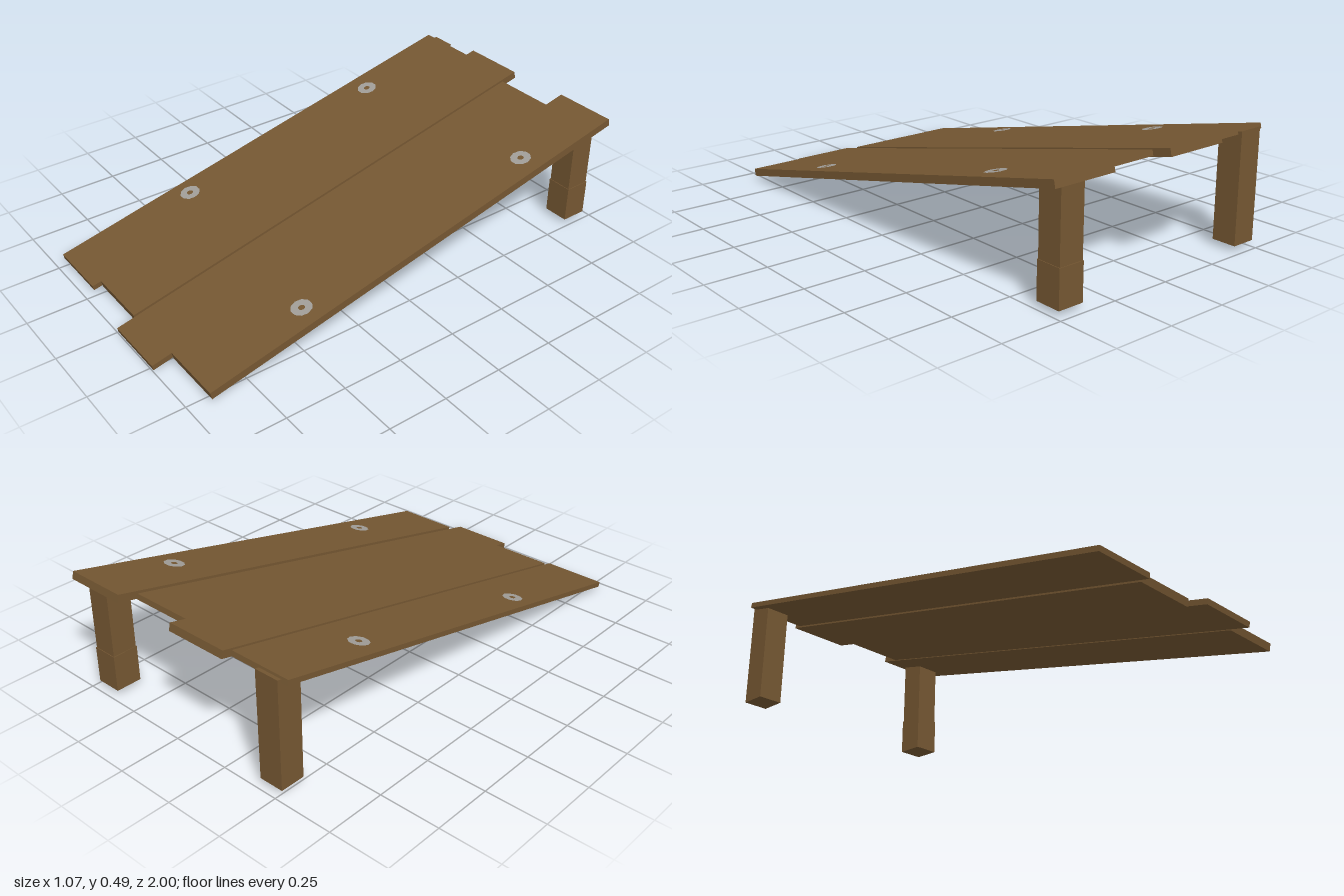
import * as THREE from 'three';

const TILT = 0.2262;

export function createModel() {
  const model = new THREE.Group();
  model.name = 'woodenRamp';
  const wood = new THREE.MeshStandardMaterial({ color: 0x755732 });
  wood.name = 'brown wood';
  const metal = new THREE.MeshStandardMaterial({ color: 0xa09d98 });
  metal.name = 'grey nail metal';

  const add = (geometry, material, name, parent = model) => {
    const mesh = new THREE.Mesh(geometry, material);
    mesh.name = name;
    parent.add(mesh);
    return mesh;
  };

  // Planks: x centre, width, z and y of the middle of the top face, thickness, nails as [x, z]
  const planks = [
    [-0.406, 0.264, 0.003, 0.250, 0.021, [[-0.44, -0.515], [-0.455, 0.405]]],
    [-0.137, 0.266, -0.032, 0.263, 0.031, []],
    [0.134, 0.264, 0.042, 0.242, 0.022, []],
    [0.404, 0.265, -0.037, 0.268, 0.031, [[0.44, -0.605], [0.445, 0.47]]],
  ];
  planks.forEach(([x, width, z, y, thick, nails]) => {
    const board = new THREE.Group();
    board.name = 'board';
    board.position.set(x, y, z);
    board.rotation.x = TILT;
    model.add(board);
    const box = new THREE.BoxGeometry(width, thick, 1.966);
    box.translate(0, -thick / 2, 0);
    add(box, wood, 'plank', board);

    // Flat nail heads with a small open middle
    nails.forEach(([nx, nz]) => {
      const head = add(new THREE.RingGeometry(0.013, 0.042, 10), metal, 'nailHead', board);
      head.rotation.x = -Math.PI / 2;
      head.position.set(nx - x, 0.0015, (nz - z) / Math.cos(TILT));
    });
  });

  // Back posts, with tops cut to the slope of the planks
  const post = (x, z, name) => {
    const low = 0.022, high = 0.435;
    const geometry = new THREE.BoxGeometry(0.103, high - low, 0.103);
    geometry.translate(x, (high + low) / 2, z);
    const p = geometry.attributes.position;
    for (let i = 0; i < p.count; i++) {
      if (p.getY(i) > 0.2) p.setY(i, 0.241 - p.getZ(i) * Math.tan(TILT));
    }
    geometry.computeVertexNormals();
    add(geometry, wood, name);
  };
  post(0.43, -0.92, 'leftPost');
  post(-0.457, -0.924, 'rightPost');

  // Slightly thicker foot of the left post
  const foot = add(new THREE.BoxGeometry(0.108, 0.15, 0.108), wood, 'leftPostFoot');
  foot.position.set(0.43, 0.096, -0.92);

  return model;
}
